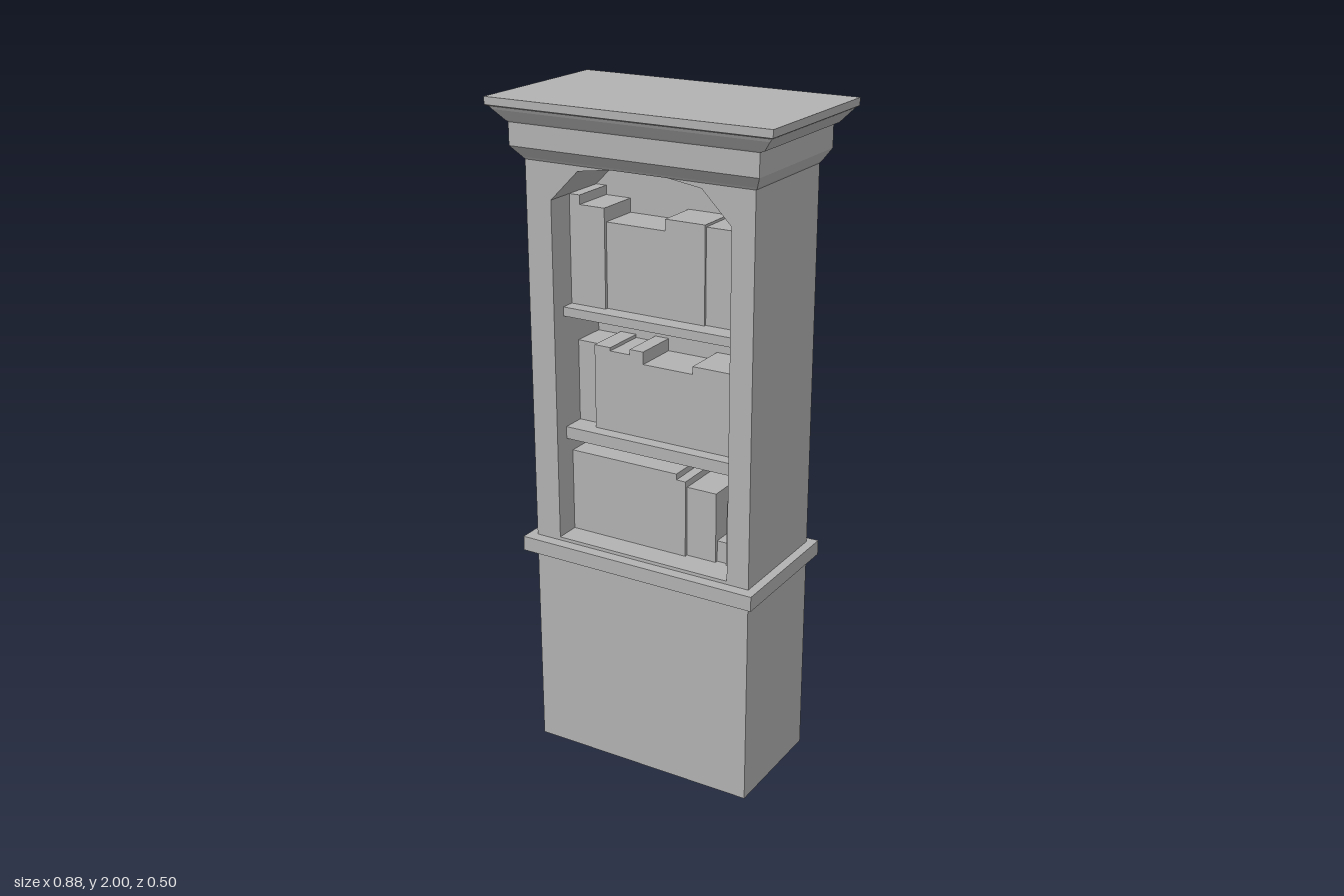
import * as THREE from 'three';

const stone = new THREE.MeshStandardMaterial({ color: 0xb2b2b2, side: THREE.DoubleSide });
stone.name = 'plain grey';

// Flat-shaded surface from four-cornered faces
function quadSurface(quads) {
  const pos = [];
  for (const [a, b, c, d] of quads) pos.push(...a, ...b, ...c, ...a, ...c, ...d);
  const g = new THREE.BufferGeometry();
  g.setAttribute('position', new THREE.Float32BufferAttribute(pos, 3));
  g.computeVertexNormals();
  return g;
}

// Rectangular rings [half width, half depth, y, centre x, centre z] joined from bottom to top
function rectLoft(rings, { skipFront = false, cap = false } = {}) {
  const loops = rings.map(([hx, hz, y, cx = 0, cz = 0]) => [
    [cx - hx, y, cz + hz], [cx + hx, y, cz + hz], [cx + hx, y, cz - hz], [cx - hx, y, cz - hz],
  ]);
  const quads = [];
  for (let k = 0; k + 1 < loops.length; k++) {
    for (let i = skipFront ? 1 : 0; i < 4; i++) {
      const j = (i + 1) % 4;
      quads.push([loops[k][i], loops[k][j], loops[k + 1][j], loops[k + 1][i]]);
    }
  }
  if (cap) quads.push(loops[loops.length - 1]);
  return quadSurface(quads);
}

export function createModel() {
  const model = new THREE.Group();
  model.name = 'bookcase';
  const add = (name, geometry, parent = model) => {
    const mesh = new THREE.Mesh(geometry, stone);
    mesh.name = name;
    parent.add(mesh);
    return mesh;
  };

  const HX = 0.358, HZ = 0.183, CX = -0.004, CZ = -0.006;
  const FRONT = CZ + HZ, BACK = -0.05, L = -0.28, R = 0.285, SPLIT = 0.67, TOP = 1.84;

  // Hollow base, open underneath, and upper sides and back
  add('base', rectLoft([[HX, HZ, 0, CX, CZ], [HX, HZ, SPLIT, CX, CZ]]));
  add('cabinetSides', rectLoft([[HX, HZ, SPLIT, CX, CZ], [HX, HZ, TOP, CX, CZ]], { skipFront: true }));

  // Front panel with the arched opening
  const arch = [
    [L, 0.7], [R, 0.7], [R, 1.72], [0.195, 1.81], [0.085, 1.826],
    [-0.08, 1.826], [-0.19, 1.81], [L, 1.72],
  ].map(([x, y]) => new THREE.Vector2(x, y));
  const panel = new THREE.Shape([
    [CX - HX, SPLIT], [CX + HX, SPLIT], [CX + HX, TOP], [CX - HX, TOP],
  ].map(([x, y]) => new THREE.Vector2(x, y)));
  panel.holes.push(new THREE.Path(arch));
  add('frontPanel', new THREE.ShapeGeometry(panel)).position.z = FRONT;

  // Lining and back of the opening
  add('recessLining', quadSurface(arch.map((p, i) => {
    const q = arch[(i + 1) % arch.length];
    return [[p.x, p.y, FRONT], [p.x, p.y, BACK], [q.x, q.y, BACK], [q.x, q.y, FRONT]];
  })));
  add('recessBack', new THREE.ShapeGeometry(new THREE.Shape(arch))).position.z = BACK;

  // Waist moulding
  add('waistMoulding', rectLoft([
    [HX, HZ, 0.645, CX, CZ], [0.385, 0.212, 0.645, CX], [0.385, 0.212, 0.69, CX], [HX, HZ, 0.69, CX, CZ],
  ]));

  // Stepped cornice with a flat top
  add('cornice', rectLoft([
    [HX, HZ, 1.825, CX, CZ],
    [0.364, 0.188, 1.832, CX, CZ],
    [0.385, 0.212, 1.865, CX],
    [0.385, 0.212, 1.93, CX],
    [0.396, 0.216, 1.935],
    [0.422, 0.238, 1.965],
    [0.43, 0.243, 1.974],
    [0.437, 0.252, 1.978],
    [0.438, 0.252, 2.0],
  ], { cap: true }));

  // Box spanning x0..x1 and y0..y1 from the recess back to zFront
  const block = (name, x0, x1, y0, y1, zFront, parent) => {
    const g = new THREE.BoxGeometry(x1 - x0, y1 - y0, zFront - BACK);
    add(name, g, parent).position.set((x0 + x1) / 2, (y0 + y1) / 2, (zFront + BACK) / 2);
  };

  // Shelves
  block('lowerShelf', L, R, 1.0, 1.037, 0.13);
  block('upperShelf', L, R, 1.375, 1.402, 0.13);

  // Books per row: [right edge, top, front], each starting where the last one ends
  const rows = [
    ['bottomBooks', 0.7, [[0.075, 0.953, 0.1], [0.105, 0.935, 0.1], [0.2, 0.915, 0.09],
      [0.235, 0.765, 0.08], [R, 0.9, 0.09]]],
    ['middleBooks', 1.037, [[-0.203, 1.283, 0.057], [-0.15, 1.291, 0.09], [-0.085, 1.281, 0.09],
      [-0.04, 1.297, 0.09], [0.12, 1.26, 0.09], [R, 1.283, 0.09]]],
    ['topBooks', 1.402, [[-0.246, 1.72, 0.087], [-0.165, 1.693, 0.087], [0.025, 1.652, 0.077],
      [0.15, 1.685, 0.077], [0.247, 1.678, 0.07], [R, 1.72, 0.07]]],
  ];
  for (const [name, floor, books] of rows) {
    const row = new THREE.Group();
    row.name = name;
    model.add(row);
    let x = L;
    for (const [right, top, front] of books) {
      block('book', x, right, floor, top, front, row);
      x = right;
    }
  }
  return model;
}
